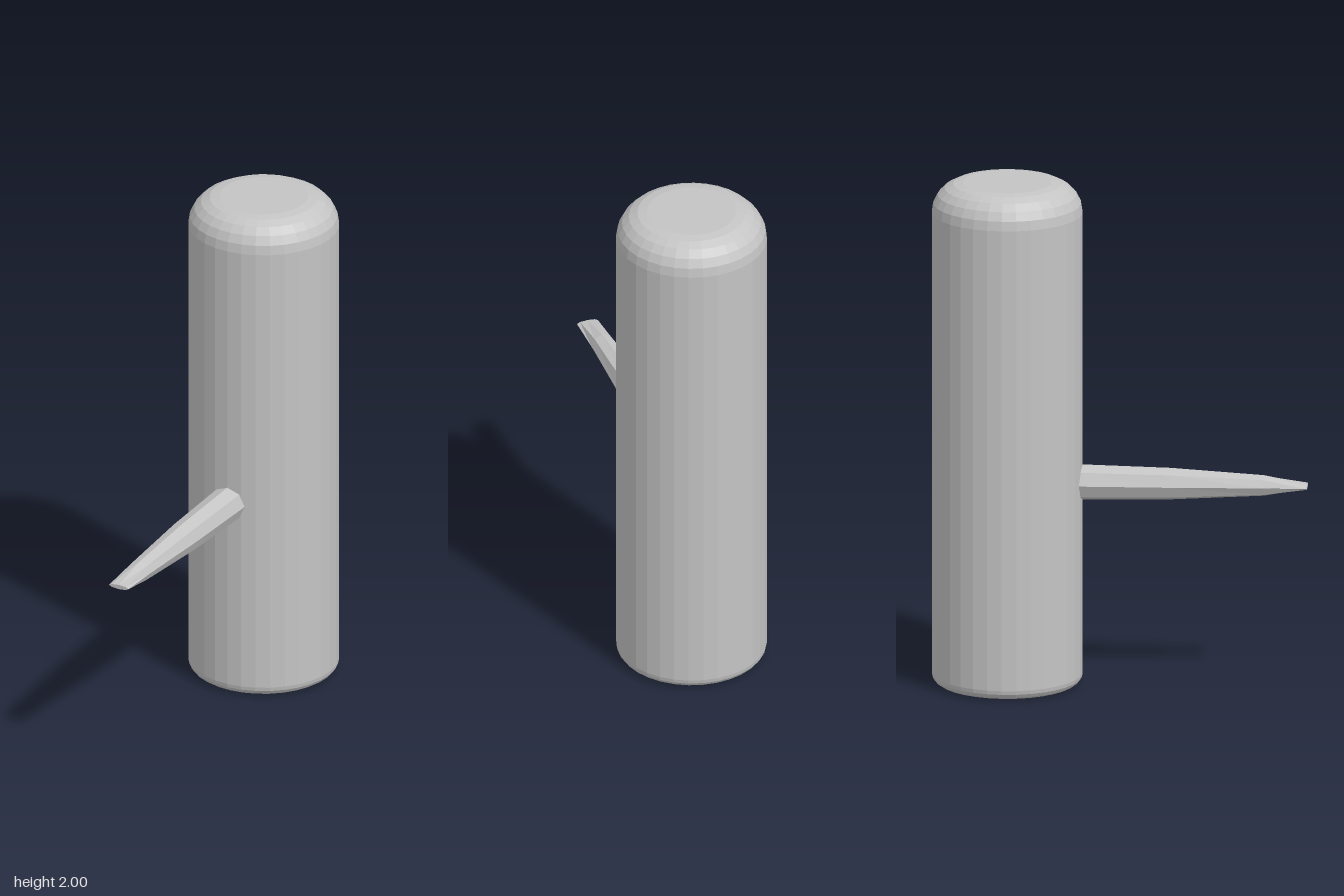
import * as THREE from 'three';

export function createModel() {
  const model = new THREE.Group();
  model.name = 'postWithPeg';
  const grey = new THREE.MeshStandardMaterial({ color: 0xc4c4c4, flatShading: true });
  grey.name = 'light grey';

  // Upright post: large rounding on top, small rounding at the base
  const R = 0.292;
  const profile = [new THREE.Vector2(0, 0)];
  const arc = (r, cy, from, to, steps) => {
    for (let i = 0; i <= steps; i++) {
      const a = from + (to - from) * i / steps;
      profile.push(new THREE.Vector2(R - r + r * Math.cos(a), cy + r * Math.sin(a)));
    }
  };
  arc(0.04, 0.04, -Math.PI / 2, 0, 4);
  arc(0.12, 1.88, 0, Math.PI / 2, 5);
  profile.push(new THREE.Vector2(0, 2));
  const post = new THREE.Mesh(new THREE.LatheGeometry(profile, 32), grey);
  post.name = 'post';
  post.position.z = -0.435;
  model.add(post);

  // Eight-sided peg tapering to a flat chisel tip: [z, half width, half height]
  const sections = [
    [-0.2, 0.072, 0.071], [-0.14, 0.071, 0.07], [0.2, 0.063, 0.063],
    [0.56, 0.046, 0.041], [0.727, 0.043, 0.009],
  ];
  const sides = 8;
  const positions = [];
  const indices = [];
  for (const [z, w, h] of sections) {
    for (let i = 0; i < sides; i++) {
      const a = i * 2 * Math.PI / sides;
      positions.push(w * Math.cos(a), h * Math.sin(a), z);
    }
  }
  for (let s = 0; s < sections.length - 1; s++) {
    for (let i = 0; i < sides; i++) {
      const j = (i + 1) % sides;
      const a = s * sides + i, b = s * sides + j;
      indices.push(a, b, b + sides, a, b + sides, a + sides);
    }
  }
  // Caps at both ends
  const last = (sections.length - 1) * sides;
  for (let i = 1; i < sides - 1; i++) {
    indices.push(last, last + i, last + i + 1, 0, i + 1, i);
  }
  const pegGeometry = new THREE.BufferGeometry();
  pegGeometry.setAttribute('position', new THREE.Float32BufferAttribute(positions, 3));
  pegGeometry.setIndex(indices);
  pegGeometry.computeVertexNormals();
  const peg = new THREE.Mesh(pegGeometry, grey);
  peg.name = 'peg';
  peg.position.y = 0.805;
  model.add(peg);

  return model;
}
